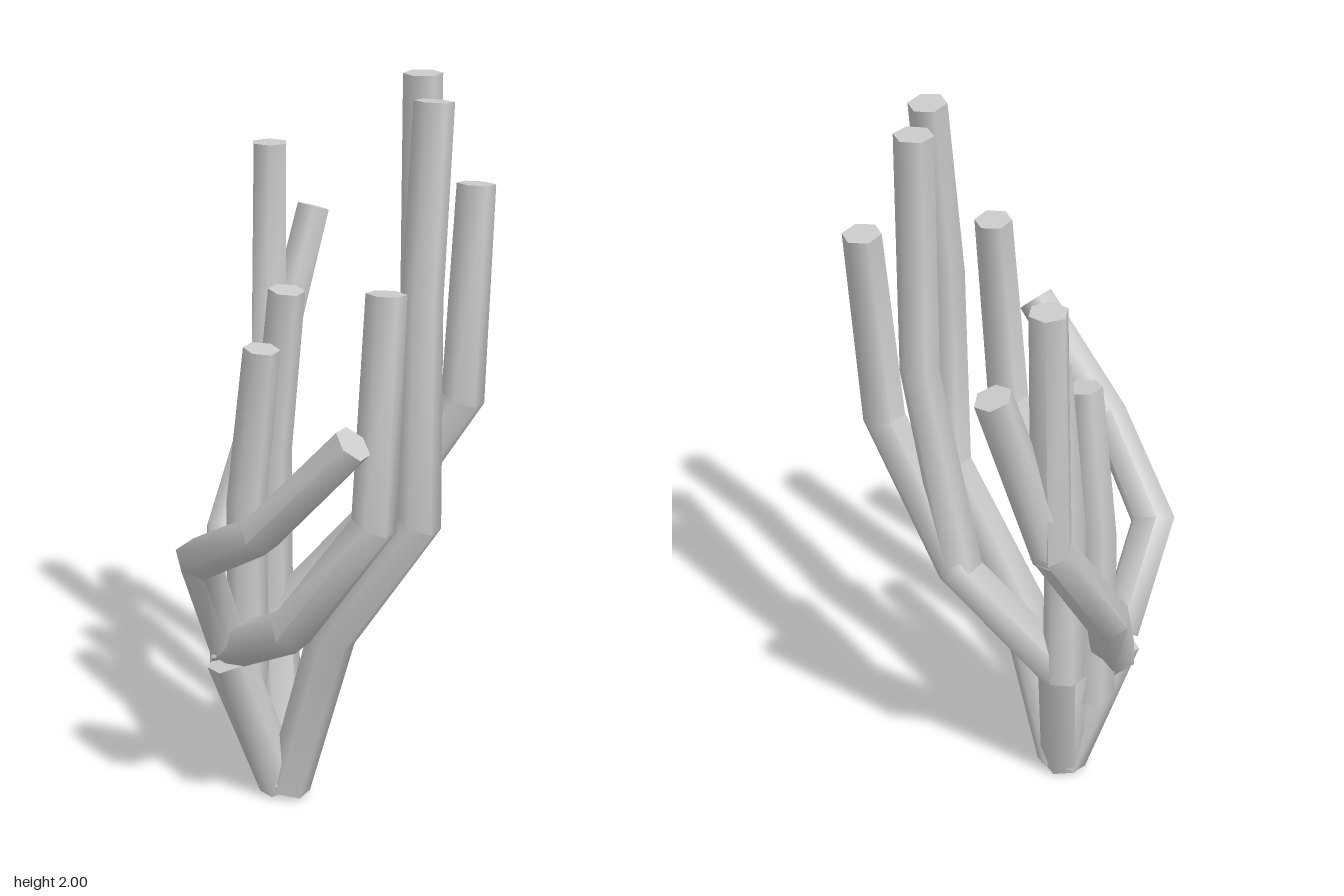
import * as THREE from 'three';
import { toCreasedNormals } from 'three/addons/utils/BufferGeometryUtils.js';

const SIDES = 6;

// Capped six-sided tube through the joints [x, y, z, radius], mitred at every bend.
// ref is the direction in which one corner of the tip points.
function branchGeometry(joints, ref) {
  const pts = joints.map(j => new THREE.Vector3(j[0], j[1], j[2]));
  const last = pts.length - 1;
  const dirs = pts.slice(1).map((p, i) => p.clone().sub(pts[i]).normalize());

  // Section at the tip, then slid down each segment to the next mitre plane
  const tip = dirs[last - 1];
  const u = ref.clone().addScaledVector(tip, -ref.dot(tip)).normalize();
  const v = tip.clone().cross(u);
  let section = [];
  for (let k = 0; k < SIDES; k++) {
    const a = (k / SIDES) * Math.PI * 2;
    section.push(u.clone().multiplyScalar(Math.cos(a)).addScaledVector(v, Math.sin(a)));
  }
  const rings = [];
  for (let i = last; i >= 0; i--) {
    if (i < last) {
      const d = dirs[i];
      const n = i > 0 ? d.clone().add(dirs[i - 1]).normalize() : d;
      section = section.map(s => s.clone().addScaledVector(d, -s.dot(n) / d.dot(n)));
    }
    rings[i] = section.map(s => s.clone().multiplyScalar(joints[i][3]).add(pts[i]));
  }

  const positions = [];
  const tri = (...ps) => ps.forEach(p => positions.push(p.x, p.y, p.z));
  for (let k = 0; k < SIDES; k++) {
    const m = (k + 1) % SIDES;
    for (let i = 0; i < last; i++) {
      const a = rings[i][k], b = rings[i][m], c = rings[i + 1][m], d = rings[i + 1][k];
      tri(a, b, c);
      tri(a, c, d);
    }
    tri(pts[0], rings[0][m], rings[0][k]);
    tri(pts[last], rings[last][k], rings[last][m]);
  }
  const g = new THREE.BufferGeometry();
  g.setAttribute('position', new THREE.Float32BufferAttribute(positions, 3));
  return toCreasedNormals(g, 1.1);
}

export function createModel() {
  const group = new THREE.Group();
  const grey = new THREE.MeshStandardMaterial({ color: 0xcccccc });
  grey.name = 'light grey';
  const X = new THREE.Vector3(1, 0, 0);
  const Z = new THREE.Vector3(0, 0, 1);

  const branch = (name, ref, joints) => {
    const mesh = new THREE.Mesh(branchGeometry(joints, ref), grey);
    mesh.name = name;
    group.add(mesh);
  };

  // Main stems fanning out from the foot
  branch('frontStem', Z, [
    [-0.085, 0.02, 0.06, 0.06], [-0.18, 0.42, 0.17, 0.065]]);
  branch('backStem', Z, [
    [-0.075, 0.02, 0.06, 0.062], [-0.17, 0.45, -0.07, 0.065],
    [0.08, 0.76, -0.205, 0.062], [0.33, 1.14, -0.205, 0.058], [0.33, 1.71, -0.265, 0.052]]);
  branch('middleStem', Z, [
    [-0.06, 0.02, 0.06, 0.062], [0.075, 0.5, 0.06, 0.066],
    [0.33, 0.87, 0.06, 0.06], [0.33, 1.47, 0.055, 0.054], [0.33, 1.975, 0, 0.052]]);

  // Tall branch rising from the back stem
  branch('tallBranch', Z, [
    [0.07, 0.75, -0.2, 0.058], [0.2, 1.33, -0.205, 0.053], [0.2, 2, -0.205, 0.052]]);

  // Outer branches rising from the front stem
  branch('frontBranch', Z, [
    [-0.18, 0.45, 0.15, 0.06], [0.09, 0.615, 0.32, 0.062],
    [0.33, 0.95, 0.32, 0.058], [0.33, 1.54, 0.26, 0.052]]);
  branch('foremostBranch', Z, [
    [-0.19, 0.47, 0.165, 0.06], [-0.19, 0.76, 0.31, 0.06],
    [0.075, 0.925, 0.455, 0.056], [0.34, 1.21, 0.457, 0.053]]);
  branch('sideBranch', X, [
    [-0.19, 0.4, 0.14, 0.066], [-0.325, 0.7, -0.075, 0.062],
    [-0.325, 1.05, -0.32, 0.056], [-0.325, 1.74, -0.335, 0.051]]);
  branch('sideFork', X, [
    [-0.325, 1.03, -0.315, 0.054], [-0.26, 1.54, -0.467, 0.05]]);

  // Pair of short inner branches
  branch('innerBranchBack', Z, [
    [-0.185, 0.45, -0.08, 0.058], [-0.18, 0.95, -0.075, 0.054], [-0.13, 1.41, -0.07, 0.05]]);
  branch('innerBranchFront', Z, [
    [-0.19, 0.31, 0.05, 0.058], [-0.19, 0.84, 0.052, 0.054], [-0.135, 1.28, 0.06, 0.05]]);

  return group;
}
